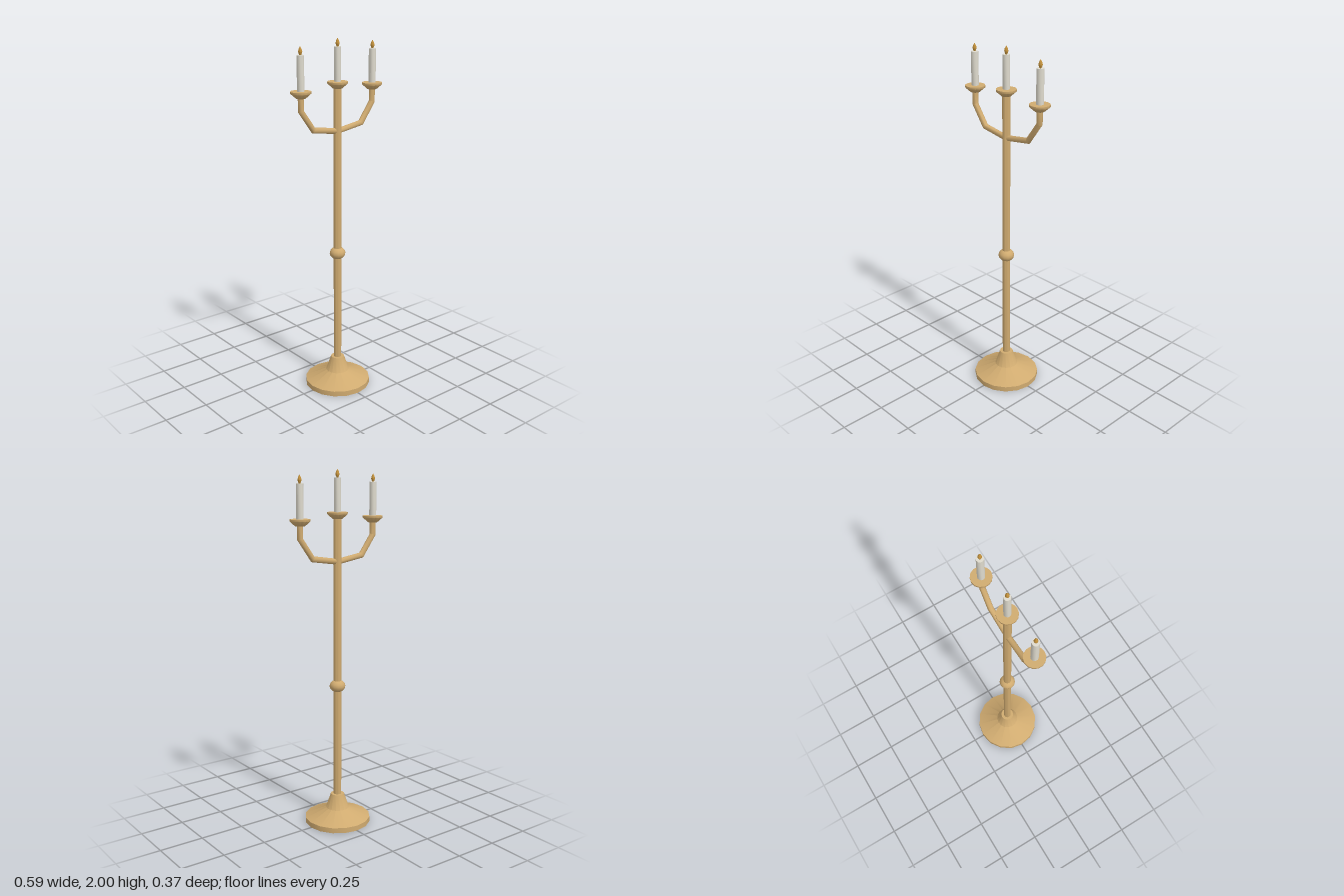
import * as THREE from 'three';
import { toCreasedNormals } from 'three/addons/utils/BufferGeometryUtils.js';

export function createModel() {
  const mat = (name, color) => Object.assign(new THREE.MeshStandardMaterial({ color }), { name });
  const brass = mat('brass', 0xd0ab70);
  const wax = mat('wax', 0xdedacd);
  const flame = mat('flame', 0xc4923c);
  const model = new THREE.Group();
  model.name = 'candelabrum';

  const add = (parent, name, geometry, material) => {
    const mesh = new THREE.Mesh(geometry, material);
    mesh.name = name;
    parent.add(mesh);
    return mesh;
  };
  // Turned part from a bottom-to-top profile of [radius, height]
  const turned = (profile, sides) => toCreasedNormals(
    new THREE.LatheGeometry(profile.map(([r, y]) => new THREE.Vector2(r, y)), sides), 0.85);

  // Round rod along a bent path in the xy plane, with mitred joints
  const bentRod = (path, radius, sides) => {
    const pts = path.map(([x, y]) => new THREE.Vector2(x, y));
    const pos = [], index = [];
    pts.forEach((p, i) => {
      const a = pts[Math.max(i - 1, 0)], b = pts[Math.min(i + 1, pts.length - 1)];
      const before = (i ? p.clone().sub(a) : b.clone().sub(p)).normalize();
      const after = (p === b ? before.clone() : b.clone().sub(p)).normalize();
      const mid = before.clone().add(after).normalize();
      const stretch = radius / mid.dot(before);
      for (let s = 0; s < sides; s++) {
        const t = (s / sides) * Math.PI * 2, c = Math.cos(t) * stretch;
        pos.push(p.x - mid.y * c, p.y + mid.x * c, Math.sin(t) * radius);
        if (i) {
          const n = (s + 1) % sides, lo = (i - 1) * sides, hi = i * sides;
          index.push(lo + s, lo + n, hi + s, lo + n, hi + n, hi + s);
        }
      }
    });
    const g = new THREE.BufferGeometry();
    g.setAttribute('position', new THREE.Float32BufferAttribute(pos, 3));
    g.setIndex(index);
    return toCreasedNormals(g, 0.85);
  };

  // Foot, stem and knob
  add(model, 'foot', turned([[0, 0.005], [0.187, 0], [0.187, 0.03], [0.066, 0.082], [0.038, 0.165], [0, 0.165]], 16), brass);
  add(model, 'stem', turned([[0.022, 0.16], [0.022, 1.75]], 12), brass);
  const knob = add(model, 'knob', new THREE.SphereGeometry(0.045, 12, 8), brass);
  knob.scale.y = 0.8;
  knob.position.y = 0.81;

  // Drip dish with candle and flame, standing on the dish's top level
  const addCandle = (name, x, y, height, radius) => {
    const g = new THREE.Group();
    g.name = name;
    g.position.set(x, y, 0);
    add(g, 'dish', turned([[0, -0.036], [0.026, -0.036], [0.055, -0.011], [0.055, 0], [0, 0]], 14), brass);
    add(g, 'candle', turned([[radius, -0.01], [radius, height], [0, height]], 10), wax);
    add(g, 'flame', turned([[0.005, 0], [0.011, 0.016], [0.008, 0.03], [0, 0.045]], 8), flame).position.y = height;
    model.add(g);
  };
  addCandle('centreCandle', 0, 1.774, 0.181, 0.019);

  // Mirrored arms
  for (const side of [-1, 1]) {
    const arm = add(model, side > 0 ? 'leftArm' : 'rightArm',
      bentRod([[0, 1.508], [0.163, 1.533], [0.242, 1.642], [0.242, 1.72]], 0.016, 8), brass);
    if (side < 0) arm.rotation.y = Math.PI;
    addCandle(side > 0 ? 'leftCandle' : 'rightCandle', side * 0.242, 1.746, 0.183, 0.02);
  }
  return model;
}
